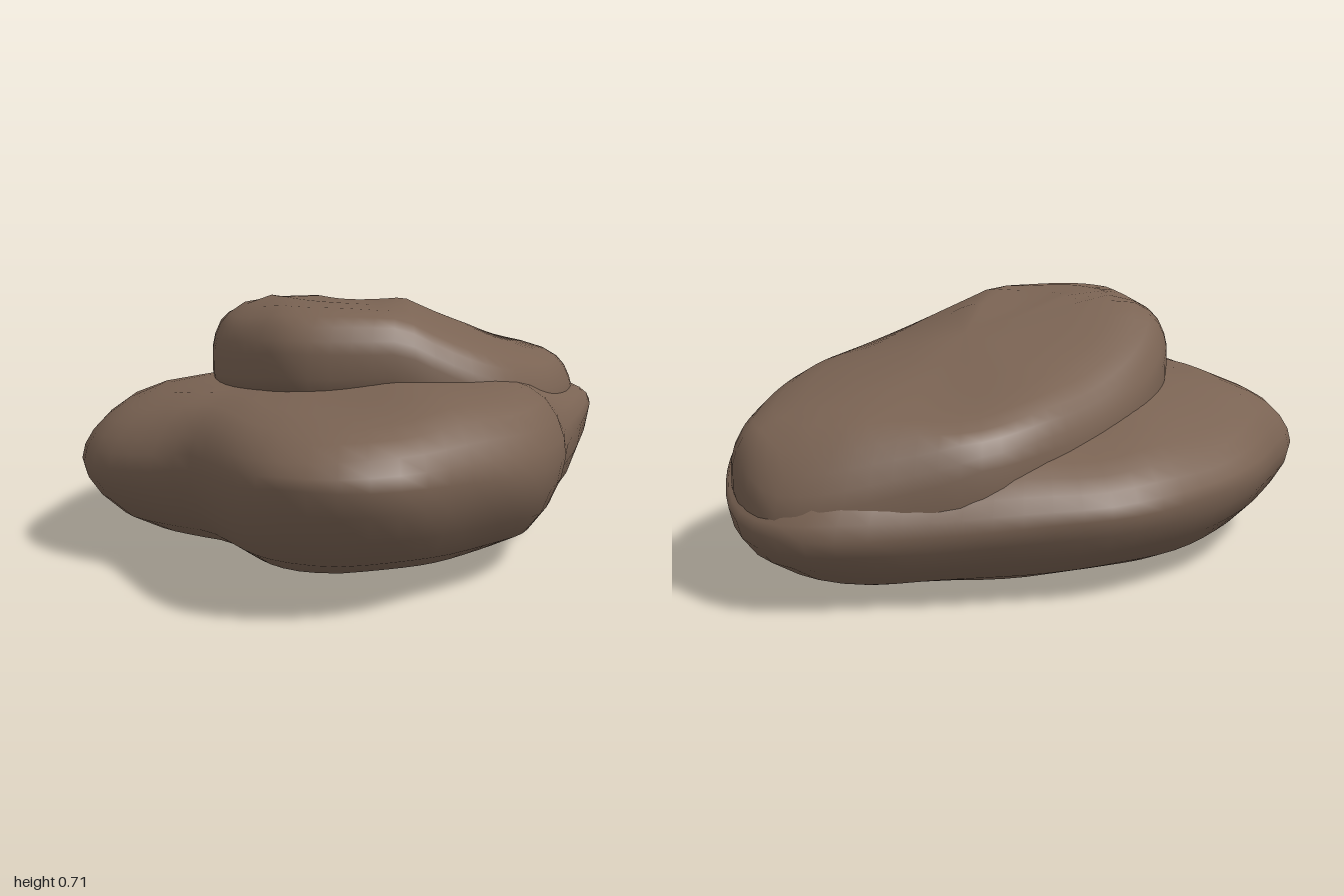
import * as THREE from 'three';

const stone = new THREE.MeshStandardMaterial({ color: 0x7a6353 });
stone.name = 'brown stone';

// Gentle surface unevenness
const bump = (x, y, z) =>
  0.5 * Math.sin(7 * x + 3 * z + 1) * Math.cos(6 * z - 4 * y) + 0.5 * Math.sin(13 * x - 9 * z + 8 * y);

// Height of the lower slab's top and underside; the top sinks to the back, the left and beside the upper slab
function baseTop(x, z) {
  const side = THREE.MathUtils.clamp((x - 0.3) / 0.3, 0, 1) * THREE.MathUtils.clamp(0.45 - z, 0, 0.4);
  return 0.515 + 0.08 * Math.min(x, 0.25) - 0.1 * Math.max(0, -x - 0.42)
    - 0.17 * Math.max(0, 0.05 - z) - 0.06 * Math.max(0, z - 0.5) - 0.17 * side;
}
const baseBottom = (x, z) => 0.012 + 0.06 * Math.max(z, 0) + 0.04 * Math.max(-x, 0);

// Height of the upper slab's top: a plateau sloping down to the back and both sides
function capTop(x, z) {
  const t = Math.min(1.15, Math.hypot(Math.max(0, x - 0.16) / 0.82, Math.max(0, 0.04 - z)));
  return 0.715 - 0.45 * t + 0.19 * t * t - 0.2 * Math.max(0, -x - 0.18) - 0.6 * Math.max(0, -z - 0.83);
}

// Stack of rings following an outline; profile holds [radius factor, height from -1 to 1]
function slab(name, outline, center, profile, rimY, bottom, top, rough) {
  const curve = new THREE.CatmullRomCurve3(
    outline.map(([x, z, y = 0]) => new THREE.Vector3(x, y, z)), true, 'centripetal');
  const n = 72, rim = curve.getSpacedPoints(n).slice(0, n);
  const pos = [], index = [];
  for (const [r, h] of profile) {
    for (const p of rim) {
      const x = center[0] + (p.x - center[0]) * r;
      const z = center[1] + (p.z - center[1]) * r;
      const mid = rimY(p, x, z);
      let y = mid + (h > 0 ? h * (top(x, z) - mid) : h * (mid - bottom(x, z)));
      const b = rough * bump(x, y, z);
      y = Math.max(0, y + b * Math.abs(h));
      const k = 1 + b * (1 - Math.abs(h));
      pos.push(center[0] + (x - center[0]) * k, y, center[1] + (z - center[1]) * k);
    }
  }
  for (let i = 0; i < profile.length - 1; i++) {
    for (let j = 0; j < n; j++) {
      const a = i * n + j, b = i * n + (j + 1) % n, c = a + n, d = b + n;
      if (profile[i][0] > 0) index.push(a, b, c);
      if (profile[i + 1][0] > 0) index.push(b, d, c);
    }
  }
  const geo = new THREE.BufferGeometry();
  geo.setAttribute('position', new THREE.Float32BufferAttribute(pos, 3));
  geo.setIndex(index);
  geo.computeVertexNormals();
  // Poles are flat, so point their normals straight up or down
  const normals = geo.attributes.normal;
  for (let j = 0; j < n; j++) {
    normals.setXYZ(j, 0, -1, 0);
    normals.setXYZ((profile.length - 1) * n + j, 0, 1, 0);
  }
  const mesh = new THREE.Mesh(geo, stone);
  mesh.name = name;
  return mesh;
}

export function createModel() {
  const group = new THREE.Group();
  group.name = 'rock';

  // Lower slab: outline as x, z and rim height
  const baseOutline = [
    [0, 1, 0.36], [0.16, 0.965, 0.36], [0.36, 0.79, 0.34], [0.53, 0.6, 0.32], [0.595, 0.42, 0.31],
    [0.62, 0.26, 0.31], [0.7, 0, 0.33], [0.75, -0.35, 0.34], [0.68, -0.7, 0.28], [0.55, -0.92, 0.22],
    [0.39, -0.995, 0.2], [0.1, -0.92, 0.2], [-0.2, -0.81, 0.22], [-0.39, -0.72, 0.23],
    [-0.59, -0.47, 0.24], [-0.68, -0.27, 0.25], [-0.73, 0, 0.25], [-0.755, 0.22, 0.26],
    [-0.69, 0.37, 0.27], [-0.51, 0.505, 0.29], [-0.43, 0.56, 0.31], [-0.24, 0.87, 0.34], [-0.14, 0.965, 0.36],
  ];
  const baseProfile = [
    [0, -1], [0.35, -1], [0.6, -0.98], [0.75, -0.9], [0.86, -0.74], [0.94, -0.48], [0.985, -0.22], [1, 0],
    [0.99, 0.25], [0.96, 0.5], [0.91, 0.72], [0.84, 0.86], [0.72, 0.96], [0.55, 1], [0.3, 1], [0, 1],
  ];
  group.add(slab('lowerSlab', baseOutline, [0, 0], baseProfile, (p) => p.y, baseBottom, baseTop, 0.01));

  // Upper slab: rounded oval lying towards the back
  const capOutline = [
    [-0.15, 0.475], [0.02, 0.49], [0.25, 0.455], [0.42, 0.38], [0.56, 0.2], [0.645, 0], [0.695, -0.3],
    [0.68, -0.58], [0.61, -0.81], [0.47, -0.955], [0.36, -0.965], [0.15, -0.91], [-0.05, -0.83],
    [-0.18, -0.68], [-0.3, -0.45], [-0.38, -0.2], [-0.4, 0], [-0.37, 0.2], [-0.28, 0.36],
  ];
  const capProfile = [
    [0, -1], [0.98, -1], [1, -0.5], [1, 0], [0.985, 0.3], [0.955, 0.6], [0.91, 0.8],
    [0.83, 0.94], [0.7, 1], [0.5, 1], [0.25, 1], [0, 1],
  ];
  group.add(slab('upperSlab', capOutline, [0.15, -0.2], capProfile,
    (p, x, z) => capTop(x, z) - 0.11, (x, z) => capTop(x, z) - 0.24, capTop, 0.008));

  return group;
}
